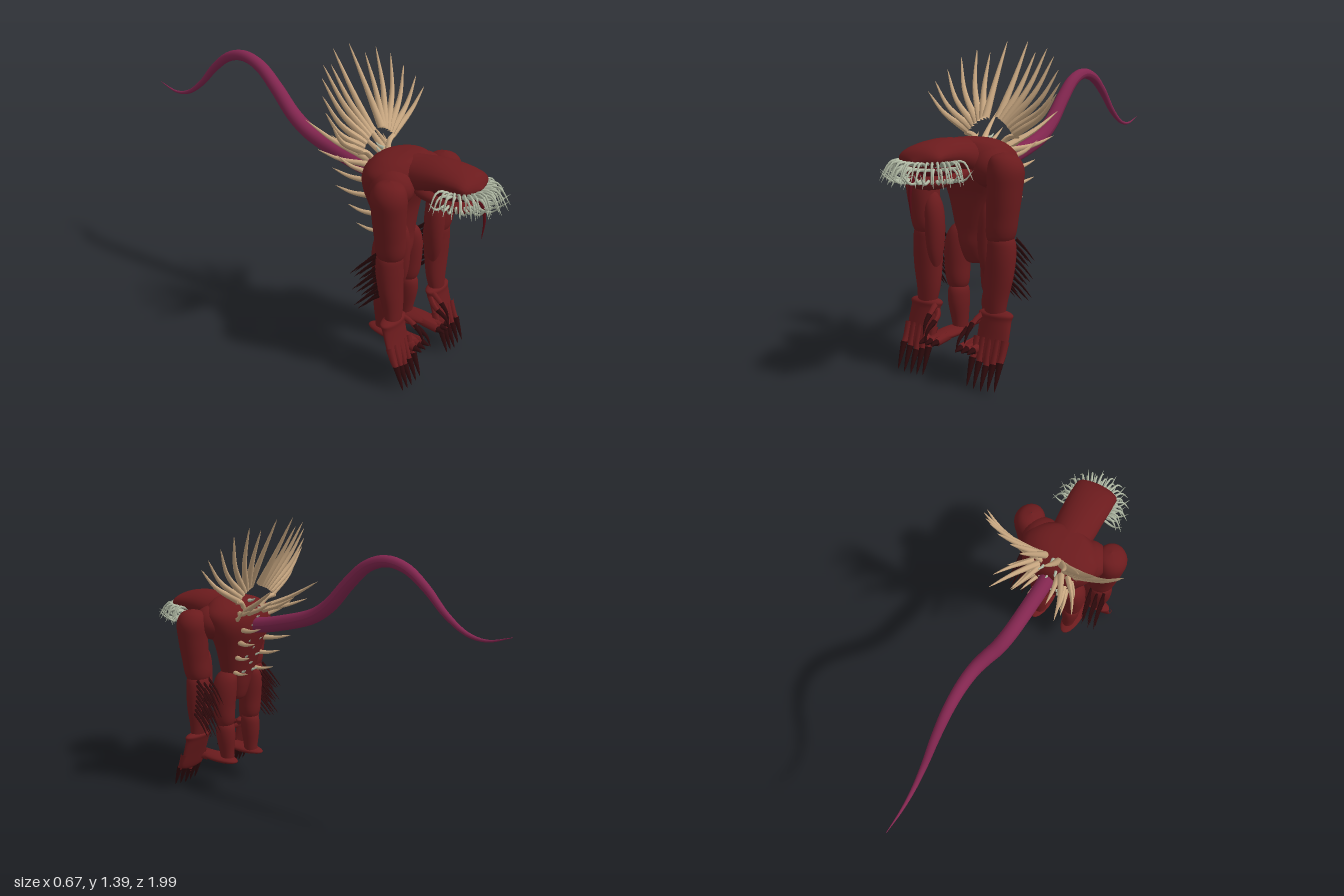
import * as THREE from 'three';

const mat = (name, color) => { const m = new THREE.MeshStandardMaterial({ color }); m.name = name; return m; };
const V = (x, y, z) => new THREE.Vector3(x, y, z);

// Smooth body part from elliptical sections [u, c1, c2, r1, r2].
// Axis 'y': u = height, centre (x, z). Axis 'z': u = depth, centre (x, y).
function loft(sections, axis = 'y', sides = 24, steps = 5) {
  const rows = (sections.length - 1) * steps, pos = [], idx = [];
  for (let i = 0; i <= rows; i++) {
    const k = Math.min(Math.floor(i / steps), sections.length - 2), t = i / steps - k;
    const at = n => sections[Math.max(0, Math.min(sections.length - 1, n))];
    const [u, c1, c2, r1, r2] = sections[0].map((_, n) => {
      const a = at(k - 1)[n], b = at(k)[n], c = at(k + 1)[n], d = at(k + 2)[n];
      return b + 0.5 * t * (c - a + t * (2 * a - 5 * b + 4 * c - d + t * (3 * (b - c) + d - a)));
    });
    for (let j = 0; j < sides; j++) {
      const a = j / sides * Math.PI * 2, p = Math.cos(a) * Math.max(r1, 0.001), q = Math.sin(a) * Math.max(r2, 0.001);
      if (axis === 'y') pos.push(c1 + p, u, c2 - q); else pos.push(c1 + p, c2 + q, u);
      if (i < rows) {
        const n = (j + 1) % sides, A = i * sides + j, B = i * sides + n;
        idx.push(A, B, A + sides, B, B + sides, A + sides);
      }
    }
  }
  const g = new THREE.BufferGeometry();
  g.setAttribute('position', new THREE.Float32BufferAttribute(pos, 3));
  g.setIndex(idx);
  g.computeVertexNormals();
  return g;
}

// Tube along points whose radius follows radius(t)
function taper(points, radius, segs = 8, sides = 7) {
  const curve = new THREE.CatmullRomCurve3(points);
  const g = new THREE.TubeGeometry(curve, segs, 1, sides);
  const p = g.attributes.position, v = V(0, 0, 0);
  for (let i = 0; i < p.count; i++) {
    const t = Math.floor(i / (sides + 1)) / segs, c = curve.getPointAt(t);
    v.fromBufferAttribute(p, i).sub(c).multiplyScalar(radius(t)).add(c);
    p.setXYZ(i, v.x, v.y, v.z);
  }
  g.computeVertexNormals();
  return g;
}
const spike = (a, b, c, r) => taper([a, b, c], t => r * (1 - t) ** 0.7 + 0.0004);

export function createModel() {
  const root = new THREE.Group(), body = new THREE.Group();
  body.name = 'body';
  body.position.x = 0.005;
  root.add(body);
  const hide = mat('dark red hide', 0x6b1b1d), tailSkin = mat('purple tail', 0x82264f);
  const bone = mat('tan quill', 0xc7a680), tooth = mat('grey green tooth', 0xb0b9a4);
  const claw = mat('dark claw', 0x2c090b), tongueMat = mat('tongue red', 0x5a0c16);
  const add = (name, geo, m, parent = body) => {
    const mesh = new THREE.Mesh(geo, m);
    mesh.name = name;
    parent.add(mesh);
    return mesh;
  };
  const group = (name, parent = body) => { const g = new THREE.Group(); g.name = name; parent.add(g); return g; };
  const ball = (name, x, y, z, a, b, c, m) => {
    const s = add(name, new THREE.SphereGeometry(1, 20, 14), m);
    s.position.set(x, y, z);
    s.scale.set(a, b, c);
  };

  // Trunk and head
  add('torso', loft([[0.465, 0, 0.5, 0, 0], [0.472, 0, 0.5, 0.04, 0.035], [0.54, 0, 0.5, 0.068, 0.06],
    [0.62, 0, 0.49, 0.1, 0.068], [0.75, 0, 0.475, 0.14, 0.095], [0.85, 0, 0.475, 0.18, 0.126],
    [0.92, 0, 0.485, 0.188, 0.13], [0.965, 0, 0.495, 0.145, 0.105], [0.988, 0, 0.51, 0.085, 0.07], [0.996, 0, 0.52, 0, 0]], 'y', 32), hide);
  add('head', loft([[0.46, 0, 0.9, 0, 0], [0.5, 0, 0.91, 0.08, 0.07], [0.6, 0, 0.918, 0.1, 0.078],
    [0.7, 0, 0.937, 0.104, 0.066], [0.8, 0, 0.94, 0.105, 0.05], [0.855, 0, 0.932, 0.092, 0.033],
    [0.88, 0, 0.925, 0, 0]], 'z'), hide);
  add('lowerJaw', loft([[0.55, 0, 0.87, 0, 0], [0.62, 0, 0.865, 0.08, 0.04], [0.75, 0, 0.845, 0.088, 0.036],
    [0.83, 0, 0.84, 0.08, 0.028], [0.875, 0, 0.84, 0, 0]], 'z'), hide);
  ball('mouthInterior', 0, 0.885, 0.75, 0.08, 0.04, 0.1, tongueMat);
  add('tongue', taper([V(0, 0.87, 0.8), V(0, 0.86, 0.88), V(0, 0.8, 0.9), V(0, 0.71, 0.895)],
    t => 0.014 * (1 - t * 0.9), 14), tongueMat);

  // Teeth fanning out around the mouth: upper rows hang down, lower row curls up
  const teeth = group('teeth');
  for (const [y0, y1, y2, n, reach] of [[0.905, 0.922, 0.85, 23, 0.095], [0.89, 0.892, 0.83, 16, 0.07], [0.85, 0.848, 0.89, 19, 0.095]]) {
    for (let i = 0; i < n; i++) {
      const a = (i / (n - 1) - 0.5) * 3.4, len = reach * (i % 2 ? 0.78 : 1);
      const at = (d, y) => V(Math.sin(a) * (0.09 + d), y, 0.775 + Math.cos(a) * (0.09 + d * 1.3));
      add('tooth', spike(at(-0.015, y0), at(len * 0.55, y1), at(len, y2), 0.0068), tooth, teeth);
    }
  }

  // Tail
  const tail = [[0.42, 0.86], [0.33, 0.868], [0.2, 0.895], [0, 0.955], [-0.1, 1.02], [-0.2, 1.125], [-0.3, 1.212],
    [-0.4, 1.243], [-0.5, 1.222], [-0.6, 1.15], [-0.7, 1.05], [-0.8, 0.985], [-0.89, 0.97], [-1, 1.0]];
  add('tail', taper(tail.map(([z, y]) => V(0, y, z)), t => 0.037 * (1 - t ** 2) + 0.001, 70, 16), tailSkin);

  // Small bony studs along the spine
  const spine = group('spineStuds');
  for (let i = 0; i < 10; i++) {
    const y = 0.62 + i * 0.04, z = y > 0.93 ? 0.36 + (y - 0.93) * 0.6 : 0.425 - (y - 0.62) * 0.23;
    for (const x of i % 2 ? [0] : [-0.03, 0.03])
      add('stud', spike(V(x, y, z + 0.015), V(x * 1.2, y + 0.006, z - 0.012), V(x * 1.4, y + 0.018, z - 0.03), 0.009), tooth, spine);
  }

  for (const s of [1, -1]) {
    const side = s > 0 ? 'left' : 'right';
    const S = (x, y, z) => V(x * s, y, z);
    const limb = (name, secs) => add(name, loft(secs.map(([y, x, z, a, b]) => [y, x * s, z, a, b])), hide);

    // Quill fan on the shoulders: [base x, base y, tip x, tip y, tip z]
    const fan = group(side + 'QuillFan', root);
    const quills = [[0.12, 1.0, 0.333, 1.17, 0.385], [0.105, 1.012, 0.326, 1.215, 0.345], [0.09, 1.025, 0.29, 1.265, 0.3],
      [0.076, 1.037, 0.243, 1.32, 0.26], [0.062, 1.045, 0.185, 1.355, 0.22], [0.048, 1.053, 0.12, 1.34, 0.21], [0.033, 1.06, 0.055, 1.388, 0.17]];
    for (const [bx, by, tx, ty, tz] of quills) {
      const mid = S(bx + (tx - bx) * 0.64, by + (ty - by) * 0.47, 0.365 + (tz - 0.365) * 0.47);
      add('quill', taper([S(bx, by, 0.368), mid, S(tx, ty, tz)], t => 0.0165 * (1 - t) ** 0.68 + 0.0006, 14, 10), bone, fan);
    }
    add('quillRoot', taper([S(0.05, 0.94, 0.39), S(0.09, 0.985, 0.375), S(0.14, 0.995, 0.365)], () => 0.012), bone, fan);

    // Back spines: [base xyz, tip xyz, radius]
    const back = group(side + 'BackSpines');
    for (const [bx, by, bz, tx, ty, tz, r] of [[0.06, 0.94, 0.37, 0.16, 1.085, 0.1, 0.016], [0.05, 0.93, 0.36, 0.08, 1.01, 0.18, 0.014],
      [0.09, 0.93, 0.38, 0.2, 0.985, 0.2, 0.014], [0.1, 0.9, 0.39, 0.17, 0.97, 0.28, 0.012], [0.08, 0.85, 0.38, 0.12, 0.88, 0.22, 0.014],
      [0.08, 0.785, 0.4, 0.13, 0.808, 0.245, 0.014], [0.075, 0.705, 0.43, 0.11, 0.727, 0.3, 0.013], [0.065, 0.625, 0.46, 0.09, 0.638, 0.335, 0.012]])
      add('spine', spike(S(bx, by, bz), S(bx * 0.4 + tx * 0.6, (by + ty) / 2 - 0.008, (bz + tz) / 2), S(tx, ty, tz), r), bone, back);

    // Arm with a broad shoulder bridging to the trunk
    limb(side + 'UpperArm', [[0.55, 0.18, 0.585, 0, 0], [0.6, 0.185, 0.582, 0.06, 0.055], [0.7, 0.2, 0.583, 0.068, 0.065],
      [0.8, 0.212, 0.582, 0.071, 0.073], [0.88, 0.216, 0.58, 0.073, 0.077], [0.93, 0.21, 0.58, 0.05, 0.055], [0.947, 0.208, 0.58, 0, 0]]);
    ball(side + 'ShoulderBridge', 0.12 * s, 0.875, 0.53, 0.095, 0.085, 0.095, hide);
    limb(side + 'Forearm', [[0.26, 0.18, 0.61, 0.04, 0.025], [0.35, 0.175, 0.598, 0.055, 0.038], [0.45, 0.183, 0.588, 0.067, 0.048],
      [0.55, 0.187, 0.58, 0.068, 0.057], [0.61, 0.185, 0.58, 0.055, 0.05], [0.64, 0.185, 0.58, 0, 0]]);
    limb(side + 'InnerArmMuscle', [[0.4, 0.135, 0.595, 0, 0], [0.5, 0.135, 0.597, 0.03, 0.035], [0.62, 0.138, 0.595, 0.043, 0.045],
      [0.72, 0.148, 0.59, 0.035, 0.04], [0.79, 0.16, 0.585, 0, 0]]);

    // Hand with five clawed fingers and two thumb claws
    limb(side + 'Hand', [[0.1, 0.184, 0.667, 0, 0], [0.12, 0.184, 0.66, 0.07, 0.014], [0.2, 0.184, 0.632, 0.076, 0.022],
      [0.27, 0.182, 0.61, 0.075, 0.031], [0.3, 0.18, 0.603, 0.077, 0.034], [0.318, 0.178, 0.6, 0, 0]]);
    const fingers = group(side + 'Fingers');
    [0.25, 0.216, 0.182, 0.148, 0.115].forEach((x, i) => {
      const d = 0.012 * Math.abs(i - 2);
      add('finger', taper([S(x, 0.2, 0.638), S(x, 0.14, 0.662), S(x, 0.085 + d, 0.68)], t => 0.018 - 0.006 * t), hide, fingers);
      add('claw', spike(S(x, 0.098 + d, 0.676), S(x, 0.055 + d / 2, 0.697), S(x, 0.003 + d * 0.4, 0.718), 0.0145), claw, fingers);
    });
    for (const [x, y, z] of [[0.112, 0.27, 0.72], [0.086, 0.245, 0.74]]) {
      add('thumb', taper([S(0.13, y + 0.025, 0.6), S(x + 0.004, y + 0.005, 0.645), S(x, y - 0.02, 0.68)], t => 0.015 - 0.005 * t), hide, fingers);
      add('thumbClaw', spike(S(x, y - 0.01, 0.67), S(x - 0.002, y - 0.04, z - 0.02), S(x - 0.006, y - 0.085, z), 0.0115), claw, fingers);
    }

    // Dark bristles sweeping down behind the forearm
    const bristles = group(side + 'ForearmBristles');
    for (let i = 0; i < 8; i++) for (const [x, lag] of [[0.165, 0], [0.2, 0.012], [0.232, 0.006]]) {
      const y = 0.605 - i * 0.025 - lag, z = 0.54 + i * 0.004, len = 1 - (i % 3) * 0.16;
      add('bristle', spike(S(x, y, z), S(x + 0.004, y - 0.05 * len, z - 0.06 * len),
        S(x + 0.014, y - 0.115 * len, z - 0.12 * len), 0.007), claw, bristles);
    }

    // Leg and foot
    limb(side + 'Thigh', [[0.31, 0.09, 0.5, 0, 0], [0.36, 0.092, 0.5, 0.044, 0.046], [0.45, 0.095, 0.5, 0.054, 0.058],
      [0.55, 0.09, 0.495, 0.055, 0.064], [0.61, 0.078, 0.49, 0.04, 0.05], [0.645, 0.065, 0.49, 0, 0]]);
    limb(side + 'Shin', [[0.15, 0.085, 0.495, 0.03, 0.036], [0.2, 0.087, 0.497, 0.034, 0.04], [0.29, 0.09, 0.5, 0.044, 0.052],
      [0.35, 0.09, 0.5, 0.038, 0.044], [0.38, 0.09, 0.5, 0, 0]]);
    ball(side + 'Foot', 0.093 * s, 0.16, 0.555, 0.05, 0.02, 0.132, hide);
    const toes = group(side + 'Toes');
    for (const x of [0.068, 0.094, 0.12]) {
      const tx = 0.094 + (x - 0.094) * 1.2;
      add('toe', taper([S(x, 0.158, 0.6), S(tx, 0.154, 0.69)], () => 0.018), hide, toes);
      add('toeClaw', spike(S(tx, 0.152, 0.685), S(tx, 0.151, 0.705), S(tx, 0.146, 0.725), 0.0145), claw, toes);
    }
  }
  return root;
}
